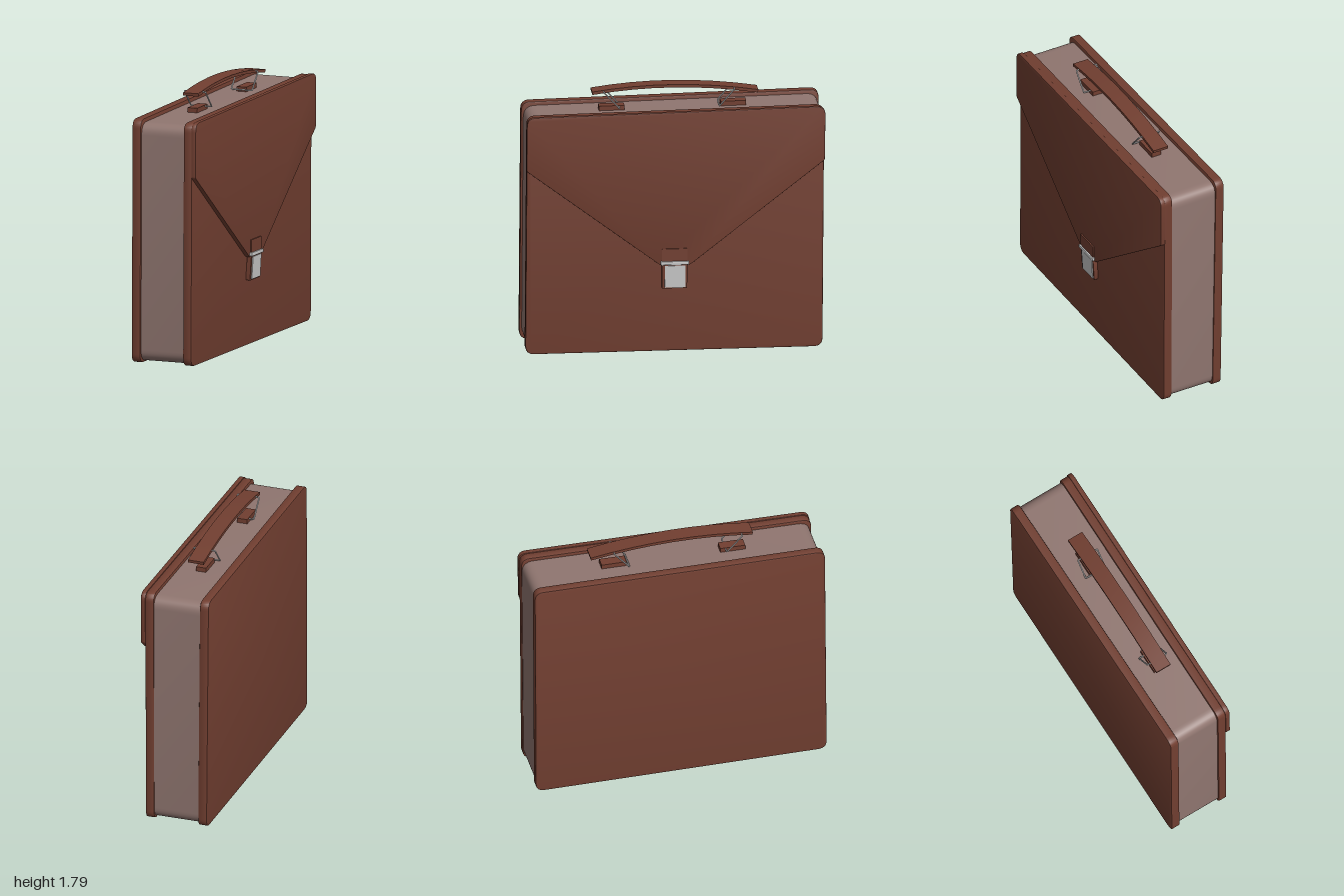
import * as THREE from 'three';
import { toCreasedNormals } from 'three/addons/utils/BufferGeometryUtils.js';

const leather = new THREE.MeshStandardMaterial({ color: 0x723f31 });
const lining = new THREE.MeshStandardMaterial({ color: 0x907670 });
const metal = new THREE.MeshStandardMaterial({ color: 0xcccccc });

// Outline with rounded corners; points are [x, y, radius]
function roundedShape(points) {
  const shape = new THREE.Shape();
  points.forEach(([x, y, r], i) => {
    const p = new THREE.Vector2(x, y);
    const toward = (q) => new THREE.Vector2(q[0], q[1]).sub(p).setLength(r).add(p);
    const a = toward(points[(i + points.length - 1) % points.length]);
    const b = toward(points[(i + 1) % points.length]);
    if (i) shape.lineTo(a.x, a.y); else shape.moveTo(a.x, a.y);
    shape.quadraticCurveTo(x, y, b.x, b.y);
  });
  shape.closePath();
  return shape;
}

const rect = (x0, x1, y0, y1, r) =>
  roundedShape([[x0, y0, r], [x1, y0, r], [x1, y1, r], [x0, y1, r]]);

// Side outline (horizontal = -z) extruded from x0 to x1
function slab(shape, x0, x1, bevel = 0) {
  const g = new THREE.ExtrudeGeometry(shape, {
    depth: x1 - x0 - 2 * bevel, bevelEnabled: bevel > 0, bevelThickness: bevel,
    bevelSize: bevel, bevelOffset: -bevel, bevelSegments: 2, curveSegments: 8,
  });
  g.rotateY(Math.PI / 2).translate(x0 + bevel, 0, 0);
  return g;
}

// Slight slouch of the case toward the rear; lean pushes the upper rear corner outward
function slouch(g, lean = 0) {
  const p = g.attributes.position;
  for (let i = 0; i < p.count; i++) {
    const x = p.getX(i), y = p.getY(i), z = p.getZ(i), t = y / 1.65;
    p.setXYZ(i, x - lean * t * (1 - z) / 2, y - 0.0125 * z * t, z - 0.012 * t);
  }
  return g;
}

export function createModel() {
  const model = new THREE.Group();
  const add = (name, geometry, material, parent = model) => {
    const mesh = new THREE.Mesh(toCreasedNormals(geometry, 0.6), material);
    mesh.name = name;
    parent.add(mesh);
    return mesh;
  };

  // Case: gusset body between two stiff panels
  add('gussetBody', slouch(slab(rect(-0.985, 0.978, 0.01, 1.622, 0.08), -0.2, 0.16)), lining);
  add('backPanel', slouch(slab(rect(-1, 0.985, 0, 1.648, 0.06), -0.23, -0.168, 0.006), 0.018), leather);
  add('frontPanel', slouch(slab(rect(-0.997, 0.982, 0, 1.645, 0.06), 0.14, 0.2, 0.006)), leather);

  // Pointed flap folded over the front panel
  const flap = roundedShape([
    [-1, 1.28, 0.01], [-0.1, 0.595, 0.02], [0.09, 0.595, 0.02],
    [0.985, 1.285, 0.01], [0.988, 1.65, 0.06], [-1, 1.65, 0.06],
  ]);
  add('flap', slouch(slab(flap, 0.198, 0.23, 0.003)), leather);

  // Clasp
  const clasp = new THREE.Group();
  clasp.name = 'clasp';
  model.add(clasp);
  add('upperPlate', slab(rect(-0.09, 0.078, 0.59, 0.712, 0.004), 0.225, 0.239), leather, clasp);
  const lower = add('lowerPlate', slab(rect(-0.09, 0.078, -0.16, 0, 0.004), -0.03, 0), leather, clasp);
  const plate = add('metalPlate', slab(rect(-0.072, 0.066, -0.153, 0, 0.004), -0.002, 0.006), metal, clasp);
  for (const m of [lower, plate]) {
    m.position.set(0.237, 0.597, 0);
    m.rotation.z = -0.06;
  }
  add('claspBar', slab(rect(-0.1, 0.088, 0.603, 0.627, 0.006), 0.225, 0.249, 0.003), metal, clasp);

  // Handle: bowed strap
  const h = 0.01;
  const strap = new THREE.Shape();
  strap.moveTo(-0.535, 1.745 - h);
  strap.quadraticCurveTo(0, 1.825 - h, 0.567, 1.73 - h);
  strap.lineTo(0.57, 1.73 + h);
  strap.quadraticCurveTo(0, 1.825 + h, -0.537, 1.745 + h);
  strap.closePath();
  add('handleStrap', slab(strap, -0.06, 0.05), leather);

  // Wire loops and the tabs that hold them: [bottom z, top z, tab start, tab end]
  for (const [z0, z1, t0, t1] of [[0.355, 0.46, 0.33, 0.5], [-0.31, -0.41, -0.31, -0.48]]) {
    const pts = rect(-0.083, 0.068, 0, 1, 0.025).getSpacedPoints(80).slice(0, -1)
      .map((p) => new THREE.Vector3(p.x, 1.64 + 0.115 * p.y, z0 + (z1 - z0) * p.y));
    const curve = new THREE.CatmullRomCurve3(pts, true);
    add('handleLoop', new THREE.TubeGeometry(curve, 160, 0.005, 8, true), metal);
    const tab = new THREE.BoxGeometry(0.07, 0.035, Math.abs(t1 - t0));
    tab.translate(-0.014, 1.636, (t0 + t1) / 2);
    add('handleTab', slouch(tab), leather);
  }

  return model;
}
